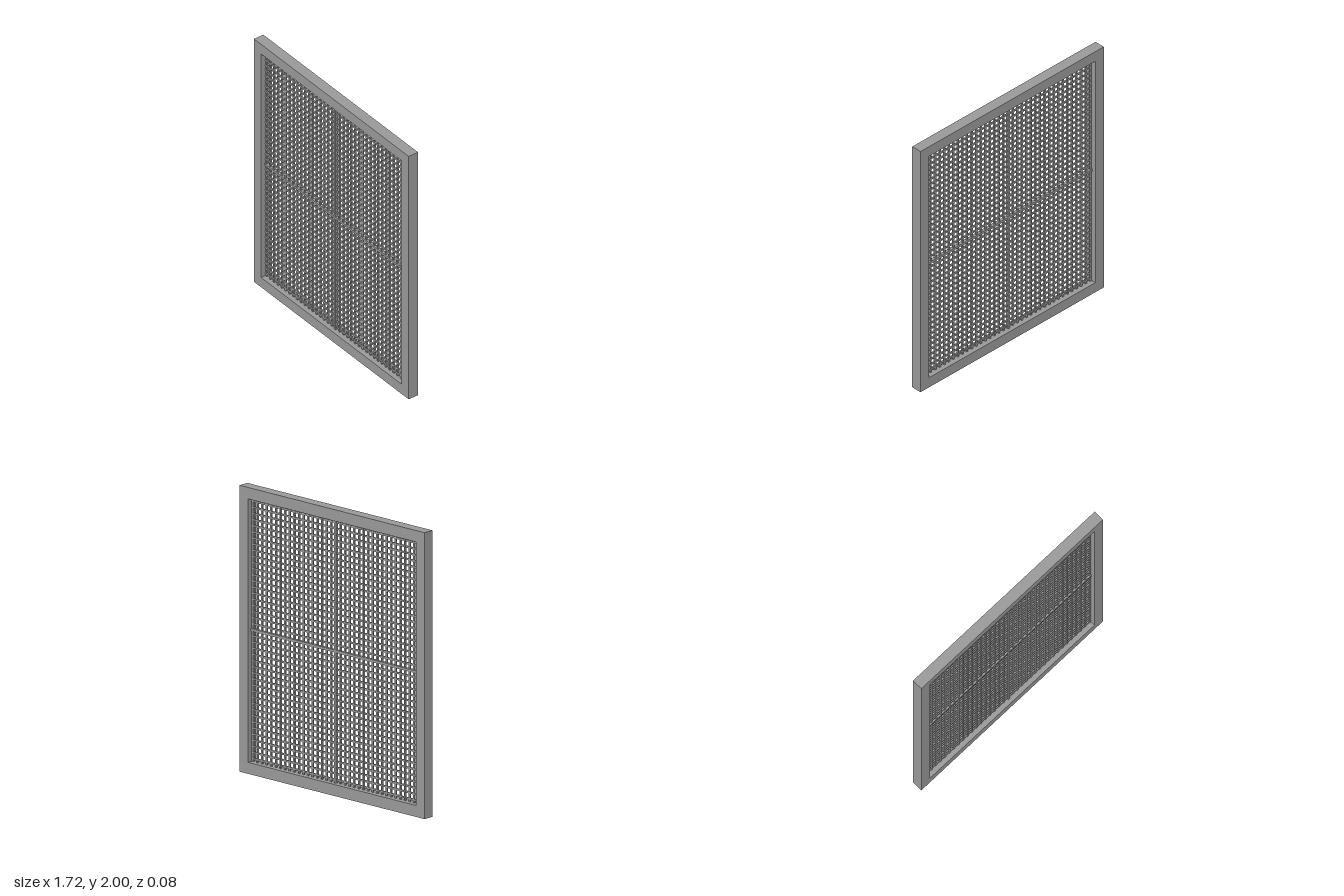
import * as THREE from 'three';

export function createModel() {
  const group = new THREE.Group();
  const grey = new THREE.MeshStandardMaterial({ color: 0x999999 });
  grey.name = 'grey metal';

  const halfW = 0.86, halfH = 1, border = 0.08, depth = 0.08;
  const openW = halfW - border, openH = halfH - border;

  // Rectangular frame with one opening
  const outline = new THREE.Shape([
    new THREE.Vector2(-halfW, 0), new THREE.Vector2(halfW, 0),
    new THREE.Vector2(halfW, 2), new THREE.Vector2(-halfW, 2),
  ]);
  outline.holes.push(new THREE.Path([
    new THREE.Vector2(-openW, border), new THREE.Vector2(-openW, 2 - border),
    new THREE.Vector2(openW, 2 - border), new THREE.Vector2(openW, border),
  ]));
  const frameGeometry = new THREE.ExtrudeGeometry(outline, { depth, bevelEnabled: false });
  frameGeometry.translate(0, 0, -depth / 2);
  const frame = new THREE.Mesh(frameGeometry, grey);
  frame.name = 'frame';
  group.add(frame);

  const addBar = (parent, name, w, h, d, x, y) => {
    const bar = new THREE.Mesh(new THREE.BoxGeometry(w, h, d), grey);
    bar.name = name;
    bar.position.set(x, y, 0);
    parent.add(bar);
  };

  // Fine wire mesh, evenly spaced from the centre
  const wires = new THREE.Group();
  wires.name = 'wireMesh';
  group.add(wires);
  const pitch = 0.0428, wire = 0.012;
  for (let i = -18; i <= 18; i++) {
    if (i) addBar(wires, 'verticalWire', wire, openH * 2, wire, i * pitch, 1);
  }
  for (let j = -21; j <= 21; j++) {
    if (j) addBar(wires, 'horizontalWire', openW * 2, wire, wire * 0.9, 0, 1 + j * pitch);
  }

  // Thicker cross bars stiffening the mesh
  addBar(group, 'verticalBar', 0.018, openH * 2, 0.022, 0, 1);
  addBar(group, 'horizontalBar', openW * 2, 0.018, 0.024, 0, 1);

  return group;
}
